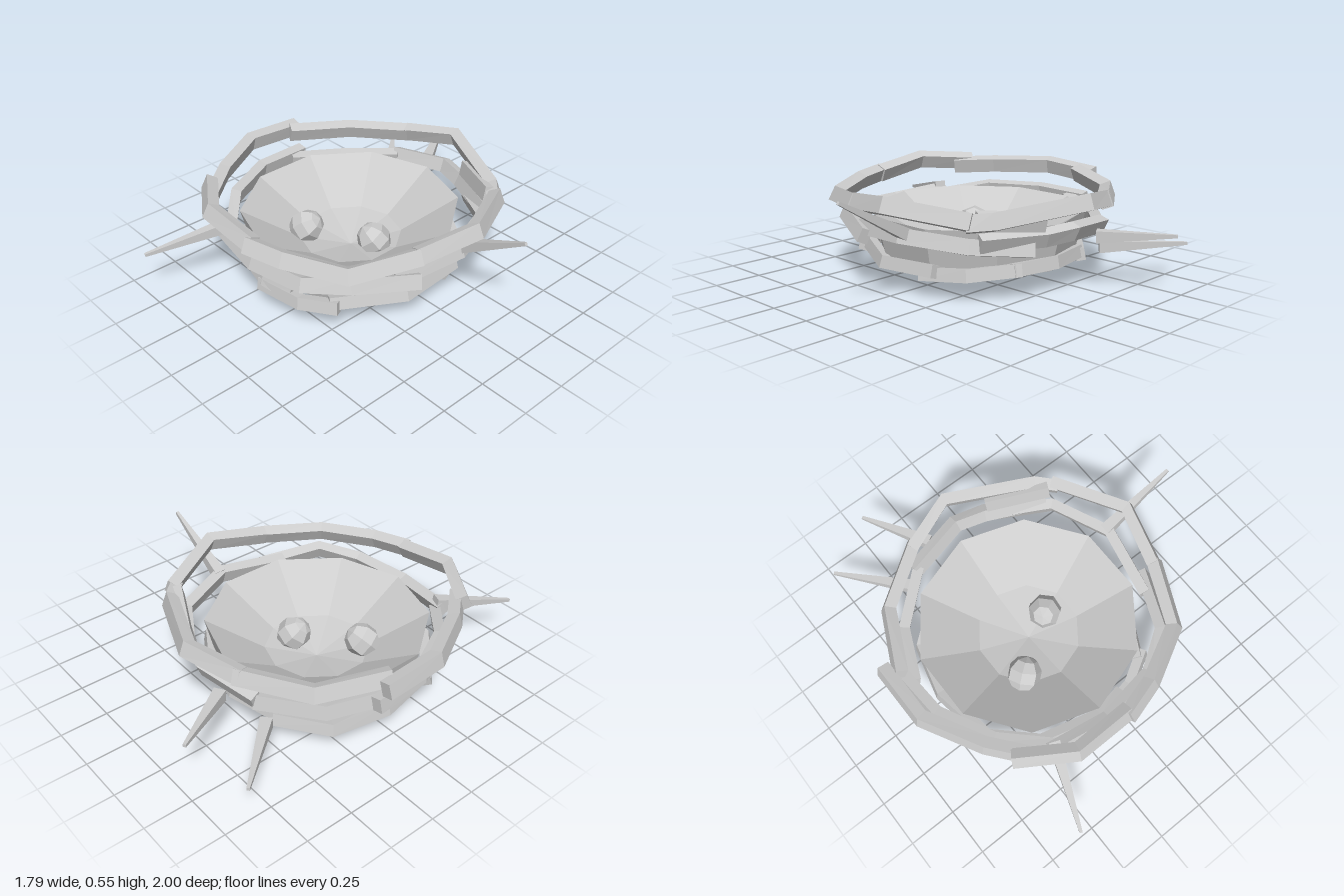
import * as THREE from 'three';

const grey = new THREE.MeshStandardMaterial({ color: 0xcccccc, flatShading: true });
grey.name = 'plainGrey';

const CX = -0.14, CZ = 0.03; // centre of the nest

// Bent stick: a rectangle swept along a polyline; tip scales the far end.
function stick(path, w, h, tip = 1, roll = 0) {
  const pts = path.map(p => new THREE.Vector3(...p));
  const pos = [], index = [], n = pts.length;
  pts.forEach((p, i) => {
    const a = pts[Math.max(i - 1, 0)], b = pts[Math.min(i + 1, n - 1)];
    const dir = b.clone().sub(a).normalize();
    const side = new THREE.Vector3(-dir.z, 0, dir.x).normalize();
    const up = side.clone().cross(dir).normalize();
    side.applyAxisAngle(dir, roll);
    up.applyAxisAngle(dir, roll);
    const s = THREE.MathUtils.lerp(1, tip, i / (n - 1)) / 2;
    for (const [u, v] of [[-1, -1], [1, -1], [1, 1], [-1, 1]]) {
      const q = p.clone().addScaledVector(side, u * w * s).addScaledVector(up, v * h * s);
      pos.push(q.x, q.y, q.z);
    }
  });
  for (let i = 0; i < n - 1; i++) for (let k = 0; k < 4; k++) {
    const a = i * 4 + k, b = i * 4 + (k + 1) % 4;
    index.push(a, b + 4, b, a, a + 4, b + 4);
  }
  const e = (n - 1) * 4;
  index.push(0, 1, 2, 0, 2, 3, e, e + 2, e + 1, e, e + 3, e + 2);
  const g = new THREE.BufferGeometry();
  g.setAttribute('position', new THREE.Float32BufferAttribute(pos, 3));
  g.setIndex(index);
  const flat = g.toNonIndexed();
  flat.computeVertexNormals();
  return flat;
}

function add(parent, name, geometry) {
  const m = new THREE.Mesh(geometry, grey);
  m.name = name;
  parent.add(m);
  return m;
}

// Each ring is a loose circle of overlapping bent sticks: [roll, path].
const topRing = [
  [-.25, [[-.86, .44, -.19], [-.86, .46, .13], [-.70, .45, .42], [-.55, .44, .60]]],
  [-.45, [[-.64, .46, .55], [-.38, .48, .72], [-.06, .44, .71]]],
  [-.45, [[-.08, .44, .73], [.12, .43, .67], [.40, .41, .52], [.54, .44, .20]]],
  [-.4, [[.53, .44, .21], [.61, .48, -.10], [.42, .43, -.47]]],
  [-.35, [[.43, .42, -.44], [.34, .43, -.53], [-.10, .48, -.72], [-.38, .44, -.62]]],
  [-.35, [[-.35, .44, -.64], [-.66, .42, -.43], [-.81, .45, -.11]]],
  [.2, [[.38, .43, -.46], [.08, .40, -.61]]],
];
const middleRing = [
  [-.2, [[-.80, .31, -.18], [-.78, .32, .12], [-.64, .32, .40], [-.42, .27, .60]]],
  [-.4, [[-.46, .30, .61], [-.13, .28, .66], [.18, .29, .61], [.37, .32, .48], [.51, .27, .17]]],
  [-.3, [[.44, .29, .27], [.51, .32, -.10], [.38, .30, -.42], [.12, .27, -.58]]],
  [.4, [[.36, .32, -.46], [.06, .32, -.60], [-.10, .33, -.64], [-.42, .30, -.57]]],
  [-.2, [[-.40, .29, -.57], [-.65, .27, -.35], [-.77, .30, -.08]]],
];
const bottomRing = [
  [-.2, [[-.40, .12, -.46], [-.62, .10, -.28], [-.69, .12, 0], [-.64, .15, .32]]],
  [-.3, [[-.66, .11, .30], [-.44, .15, .52], [-.13, .15, .60], [.04, .13, .57]]],
  [-.2, [[-.16, .12, .61], [.10, .12, .57], [.27, .13, .47]]],
  [-.3, [[.22, .14, .49], [.40, .12, .15], [.39, .14, -.20]]],
  [-.2, [[.39, .11, -.10], [.31, .13, -.33], [.08, .14, -.47]]],
  [-.2, [[.12, .14, -.45], [-.14, .14, -.50], [-.42, .13, -.43]]],
];
const twigs = [
  [[.50, .33, -.12], [.89, .54, -.115]],
  [[-.42, .33, .59], [-.58, .25, 1]],
  [[-.26, .28, -.66], [-.46, .30, -.99]],
  [[-.45, .17, -.54], [-.75, .19, -.87]],
];

export function createModel() {
  const model = new THREE.Group();
  model.name = 'nest';

  // Ten-sided bowl: pointed underside, outer wall, sloping inside
  const profile = [[0, 0], [.51, .09], [.57, .34], [.27, .157], [0, .09]]
    .map(([r, y]) => new THREE.Vector2(r, y));
  add(model, 'bowl', new THREE.LatheGeometry(profile, 10)).position.set(CX, 0, CZ);

  // Woven rings
  const rings = [
    ['topRing', topRing, .06, .08],
    ['middleRing', middleRing, .055, .075],
    ['bottomRing', bottomRing, .05, .065],
  ];
  for (const [name, sticks, w, h] of rings) {
    const ring = new THREE.Group();
    ring.name = name;
    for (const [roll, path] of sticks) add(ring, 'bentStick', stick(path, w, h, 1, roll));
    model.add(ring);
  }

  // Tapered twigs sticking out
  for (const p of twigs) add(model, 'twig', stick(p, .06, .06, .25));

  // Faceted eggs
  for (const [x, y, z, tilt] of [[0, .17, -.01, .5], [-.30, .20, .20, -.7]]) {
    const egg = add(model, 'egg', new THREE.SphereGeometry(.09, 7, 5));
    egg.position.set(x, y, z);
    egg.rotation.set(tilt, 0, tilt);
    egg.scale.y = 1.06;
  }
  return model;
}
